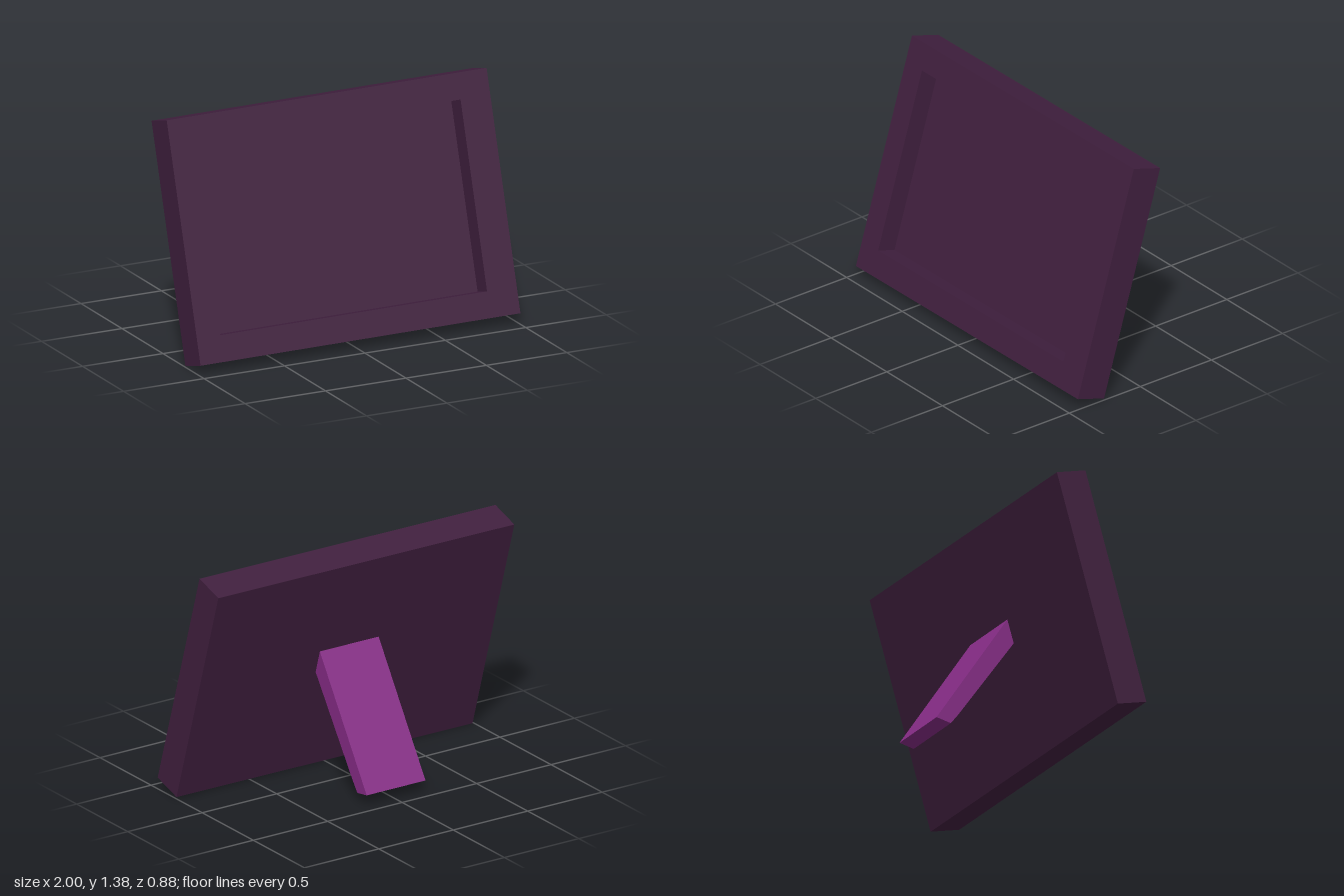
import * as THREE from 'three';

const WIDTH = 1.99, HEIGHT = 1.374, DEPTH = 0.193, RECESS = 0.12;

function rectPoints(x0, y0, x1, y1) {
  return [[x0, y0], [x1, y0], [x1, y1], [x0, y1]].map(([x, y]) => new THREE.Vector2(x, y));
}

function material(color) {
  return new THREE.MeshStandardMaterial({ color, flatShading: true });
}

export function createModel() {
  const model = new THREE.Group();
  const frameMaterial = material(0x401f3e);

  // Leaning picture frame, with a very slight roll
  const frame = new THREE.Group();
  frame.name = 'pictureFrame';
  frame.position.set(0, 0.69, 0.1475);
  frame.rotation.set(-0.295, 0, 0.005);
  model.add(frame);

  // Border around the recess; the right-hand margin is a little wider
  const outline = new THREE.Shape(rectPoints(-WIDTH / 2, -HEIGHT / 2, WIDTH / 2, HEIGHT / 2));
  outline.holes.push(new THREE.Path(rectPoints(-0.85, -0.537, 0.81, 0.537).reverse()));
  const border = new THREE.Mesh(
    new THREE.ExtrudeGeometry(outline, { depth: RECESS, bevelEnabled: false }), frameMaterial);
  border.name = 'border';
  border.position.z = DEPTH / 2 - RECESS;
  frame.add(border);

  // Solid backing that forms the recess floor
  const back = DEPTH - RECESS;
  const backing = new THREE.Mesh(new THREE.BoxGeometry(WIDTH, HEIGHT, back), frameMaterial);
  backing.name = 'backing';
  backing.position.z = -DEPTH / 2 + back / 2;
  frame.add(backing);

  // Rear prop: side profile (z, y) extruded across x, upper end sunk into the backing
  const profile = [[0.065, 0.64], [0.085, 0.67], [0.045, 0.81], [0.02, 0.77],
    [-0.437, 0.065], [-0.345, 0.05], [-0.296, 0.115]];
  const propShape = new THREE.Shape(profile.map(([z, y]) => new THREE.Vector2(z, y)));
  const propGeometry = new THREE.ExtrudeGeometry(propShape, { depth: 0.395, bevelEnabled: false });
  propGeometry.rotateY(-Math.PI / 2).translate(0.195, 0, 0);
  const prop = new THREE.Mesh(propGeometry, material(0x852b85));
  prop.name = 'rearProp';
  model.add(prop);

  return model;
}
